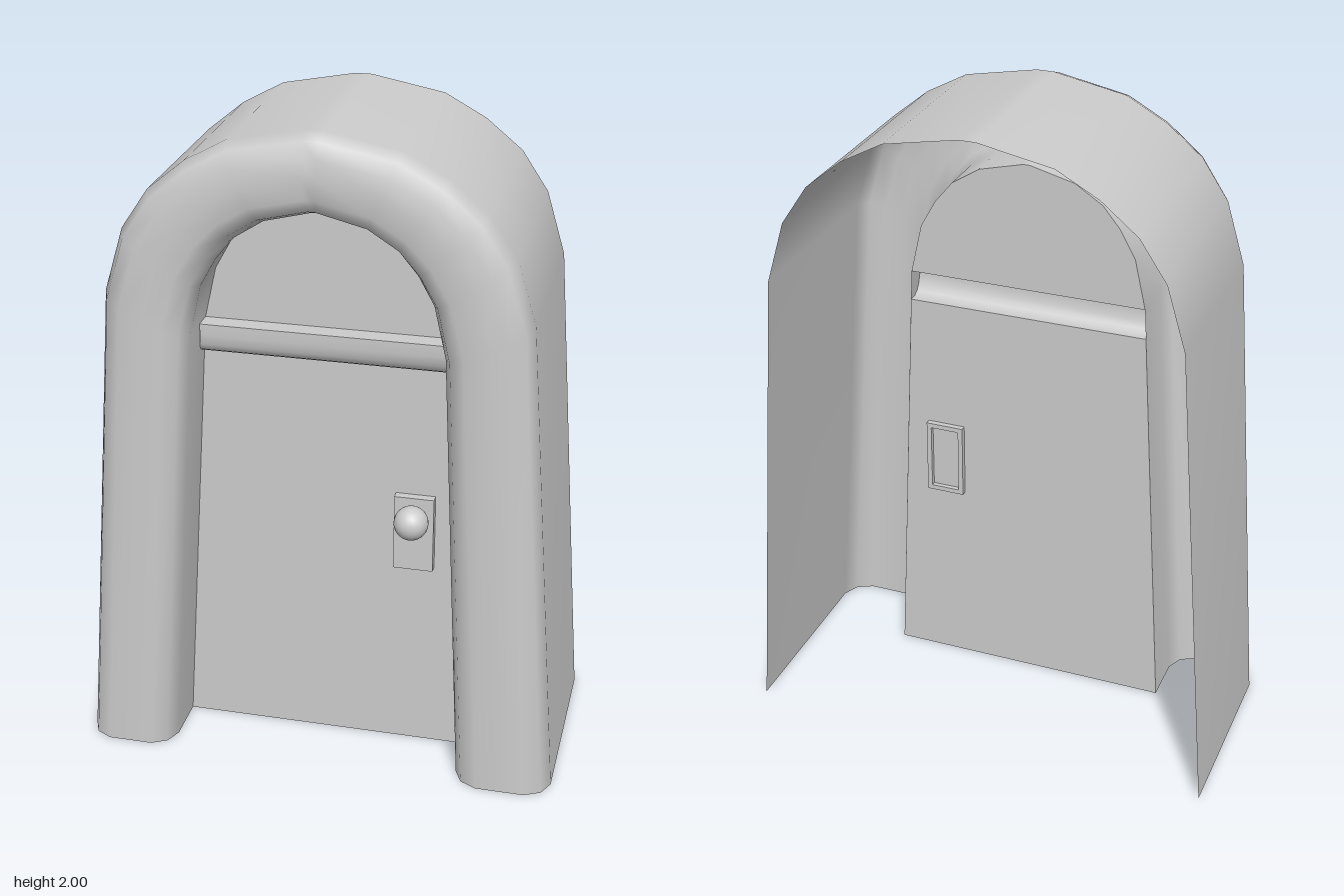
import * as THREE from 'three';
import { toCreasedNormals } from 'three/addons/utils/BufferGeometryUtils.js';

const material = new THREE.MeshStandardMaterial({ color: 0xcccccc, side: THREE.DoubleSide });

// Surface through a grid of [x, y, z] points
function gridSurface(rows) {
  const n = rows[0].length, index = [];
  for (let i = 0; i < rows.length - 1; i++) {
    for (let j = 0; j < n - 1; j++) {
      const a = i * n + j, b = a + n;
      index.push(a, b, a + 1, b, b + 1, a + 1);
    }
  }
  const geometry = new THREE.BufferGeometry();
  geometry.setAttribute('position', new THREE.Float32BufferAttribute(rows.flat(2), 3));
  geometry.setIndex(index);
  geometry.computeVertexNormals();
  return geometry;
}

function addMesh(group, name, geometry, x = 0, y = 0, z = 0) {
  const mesh = new THREE.Mesh(geometry, material);
  mesh.name = name;
  mesh.position.set(x, y, z);
  group.add(mesh);
  return mesh;
}

// Half contours of the arch, from the foot to the crown
const outerHalf = [[0.728, 0], [0.617, 1.49], [0.56, 1.68], [0.48, 1.8], [0.37, 1.89], [0.245, 1.958], [0.025, 2]];
const innerHalf = [[0.435, 0], [0.37, 1.37], [0.335, 1.525], [0.288, 1.61], [0.233, 1.677], [0.148, 1.732], [0.01, 1.767]];
const innerLeftFoot = -0.455;
const doorZ = 0.11;

const mirrored = half => [...half, ...half.map(([x, y]) => [-x, y]).reverse()];

export function createModel() {
  const model = new THREE.Group();
  model.name = 'archedDoorway';

  // Arch shell: [blend from outer to inner contour, depth], open at the back
  const section = [[0, -0.335], [0, 0.26], [0.08, 0.31], [0.25, 0.335], [0.5, 0.335],
    [0.75, 0.335], [0.92, 0.31], [1, 0.26], [1, doorZ]];
  const outer = mirrored(outerHalf), inner = mirrored(innerHalf);
  inner[inner.length - 1][0] = innerLeftFoot;
  addMesh(model, 'archFrame', gridSurface(outer.map(([ox, oy], i) => section.map(([t, z]) => [
    THREE.MathUtils.lerp(ox, inner[i][0], t),
    THREE.MathUtils.lerp(oy, inner[i][1], t),
    z,
  ]))));

  // Door, hollow ledge and upper panel as one folded sheet: [right x, left x, y, z]
  const doorRows = [
    [0.435, innerLeftFoot, 0, doorZ],
    [0.374, -0.376, 1.275, doorZ],
    [0.374, -0.376, 1.275, 0.135],
    [0.373, -0.375, 1.285, 0.153],
    [0.372, -0.373, 1.305, 0.165],
    [0.37, -0.37, 1.335, 0.17],
    [0.37, -0.37, 1.37, 0.17],
    ...innerHalf.slice(1).map(([x, y]) => [x, -x, y, doorZ]),
  ];
  const sheet = gridSurface(doorRows.map(([r, l, y, z]) => [[r, y, z], [l, y, z]]));
  addMesh(model, 'doorPanel', toCreasedNormals(sheet, Math.PI / 5));

  // Handle plate with a raised rim on the back of the door
  addMesh(model, 'handlePlate', new THREE.BoxGeometry(0.12, 0.24, 0.03), 0.265, 0.74, doorZ + 0.012);
  const rim = new THREE.Shape([[-0.06, -0.12], [0.06, -0.12], [0.06, 0.12], [-0.06, 0.12]]
    .map(p => new THREE.Vector2(...p)));
  rim.holes.push(new THREE.Path([[-0.045, -0.105], [-0.045, 0.105], [0.045, 0.105], [0.045, -0.105]]
    .map(p => new THREE.Vector2(...p))));
  addMesh(model, 'handleRim', new THREE.ExtrudeGeometry(rim, { depth: 0.015, bevelEnabled: false }),
    0.265, 0.74, doorZ - 0.018);

  // Knob on a short stem
  addMesh(model, 'knob', new THREE.SphereGeometry(0.052, 20, 14), 0.265, 0.8, 0.178);
  const stem = addMesh(model, 'knobStem', new THREE.CylinderGeometry(0.02, 0.02, 0.05, 12), 0.265, 0.8, 0.145);
  stem.rotation.x = Math.PI / 2;

  return model;
}
